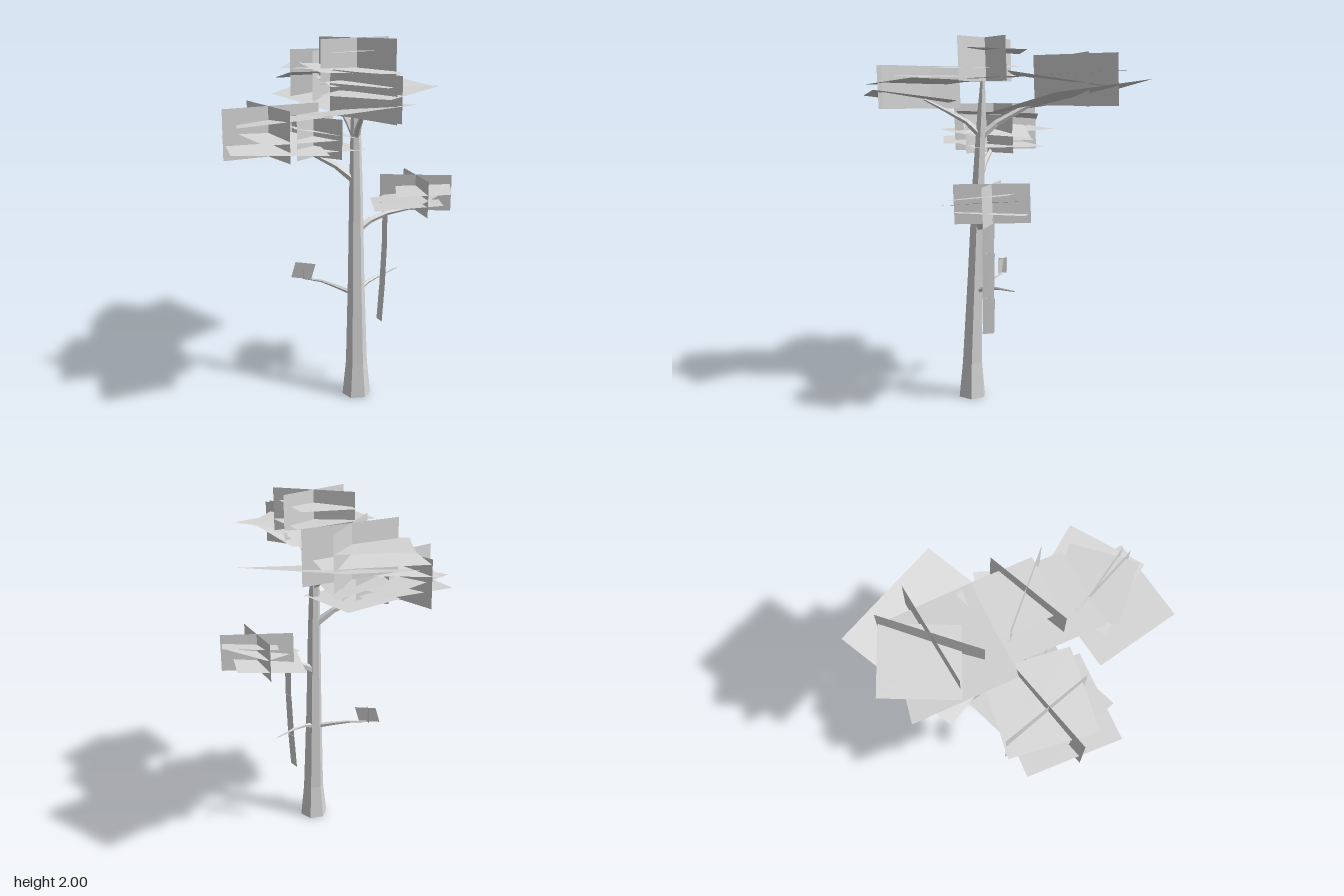
import * as THREE from 'three';

const bark = new THREE.MeshStandardMaterial({ color: 0xd6d6d6, side: THREE.DoubleSide });
bark.name = 'pale grey';

function meshFrom(name, positions) {
  const g = new THREE.BufferGeometry();
  g.setAttribute('position', new THREE.Float32BufferAttribute(positions, 3));
  g.computeVertexNormals(); // unshared corners keep every facet flat
  const m = new THREE.Mesh(g, bark);
  m.name = name;
  return m;
}

// Tapered limb through [x, y, z, radius] stations
function limb(name, stations, sides) {
  const pts = stations.map(s => new THREE.Vector3(s[0], s[1], s[2]));
  const last = pts.length - 1;
  const along = pts[last].clone().sub(pts[0]).normalize();
  const ref = Math.abs(along.x) > 0.6 ? new THREE.Vector3(0, 0, 1) : new THREE.Vector3(1, 0, 0);
  const rings = pts.map((p, i) => {
    const t = pts[Math.min(i + 1, last)].clone().sub(pts[Math.max(i - 1, 0)]).normalize();
    const u = ref.clone().addScaledVector(t, -ref.dot(t)).normalize();
    const w = t.clone().cross(u);
    return Array.from({ length: sides }, (_, k) => {
      const a = (k / sides) * Math.PI * 2;
      const r = stations[i][3];
      return p.clone().addScaledVector(u, r * Math.cos(a)).addScaledVector(w, r * Math.sin(a));
    });
  });
  const out = [];
  const tri = (...vs) => vs.forEach(v => out.push(v.x, v.y, v.z));
  for (let k = 0; k < sides; k++) {
    const n = (k + 1) % sides;
    for (let i = 0; i < last; i++) {
      tri(rings[i][k], rings[i][n], rings[i + 1][n]);
      tri(rings[i][k], rings[i + 1][n], rings[i + 1][k]);
    }
    tri(pts[0], rings[0][n], rings[0][k]);
    tri(pts[last], rings[last][k], rings[last][n]);
  }
  return meshFrom(name, out);
}

// Parallelogram leaf card from three consecutive corners, facing up
function card(name, p, q, r) {
  const s = p.map((v, i) => v + r[i] - q[i]);
  const a = new THREE.Vector3(...q).sub(new THREE.Vector3(...p));
  const b = new THREE.Vector3(...s).sub(new THREE.Vector3(...p));
  const up = a.cross(b).y >= 0;
  const c = up ? [p, q, r, p, r, s] : [p, r, q, p, s, r];
  return meshFrom(name, c.flat());
}

// Leaf cluster: upright cards [x1, z1, x2, z2] between two heights, leaning slightly, plus tilted flat cards
function cluster(name, y0, y1, upright, flat) {
  const g = new THREE.Group();
  g.name = name;
  for (const [x1, z1, x2, z2] of upright) {
    const lean = 0.008;
    g.add(card('uprightLeafCard', [x1, y0, z1], [x2, y0, z2], [x2, y1, z2 + lean]));
  }
  for (const f of flat) g.add(card('flatLeafCard', ...f));
  return g;
}

export function createModel() {
  const tree = new THREE.Group();
  tree.name = 'tree';

  // Trunk with flared foot
  tree.add(limb('trunk', [
    [0.088, 0, 0.167, 0.08], [0.088, 0.2, 0.165, 0.06], [0.086, 0.7, 0.147, 0.046],
    [0.085, 1.2, 0.128, 0.037], [0.084, 1.6, 0.108, 0.026], [0.088, 1.82, 0.1, 0.01],
  ], 6));

  // Branches
  const branches = {
    rightTwig: [[0.05, 0.605, 0.13, 0.014], [-0.02, 0.625, 0.09, 0.011], [-0.1, 0.645, 0.045, 0.008], [-0.2, 0.65, 0.005, 0.004]],
    leftTwig: [[0.1, 0.61, 0.13, 0.015], [0.16, 0.64, 0.08, 0.011], [0.25, 0.657, 0.01, 0.007], [0.36, 0.667, -0.08, 0.003]],
    leftBranch: [[0.1, 0.97, 0.125, 0.024], [0.17, 1.01, 0.1, 0.018], [0.27, 1.04, 0.07, 0.014], [0.45, 1.06, 0.03, 0.007]],
    rightBranch: [[0.07, 1.25, 0.12, 0.024], [-0.02, 1.32, 0.1, 0.018], [-0.14, 1.38, 0.07, 0.013], [-0.33, 1.45, 0.04, 0.006]],
    frontBranch: [[0.085, 1.48, 0.115, 0.022], [0.09, 1.55, 0.19, 0.016], [0.09, 1.61, 0.3, 0.012], [0.1, 1.67, 0.42, 0.006]],
    backBranch: [[0.085, 1.47, 0.11, 0.022], [0.06, 1.54, 0.03, 0.019], [0.02, 1.64, -0.15, 0.015], [0.02, 1.71, -0.36, 0.006]],
  };
  for (const [name, stations] of Object.entries(branches)) tree.add(limb(name, stations, 5));

  // Crown
  tree.add(cluster('topLeaves', 1.767, 2, [[-0.095, -0.05, 0.28, 0.215], [-0.115, 0.21, 0.284, -0.035]], [
    [[-0.205, 1.86, -0.06], [0.235, 1.84, -0.135], [0.305, 1.83, 0.34]],
    [[-0.09, 1.92, -0.095], [0.22, 1.93, -0.14], [0.26, 1.94, 0.17]],
    [[-0.12, 1.79, -0.04], [0.25, 1.8, -0.22], [0.3, 1.78, 0.16]],
  ]));
  tree.add(cluster('backLeaves', 1.635, 1.915, [[-0.12, -0.18, 0.195, -0.625], [-0.235, -0.33, 0.305, -0.465]], [
    [[-0.34, 1.655, -0.41], [0.185, 1.777, -0.8], [0.58, 1.705, -0.275]],
    [[0.235, 1.74, -0.57], [-0.31, 1.73, -0.585], [-0.255, 1.81, -0.05]],
    [[-0.175, 1.83, -0.71], [0.195, 1.82, -0.615], [0.08, 1.8, -0.235]],
  ]));
  tree.add(cluster('frontLeaves', 1.62, 1.85, [[-0.06, 0.235, 0.205, 0.65], [-0.07, 0.26, 0.235, 0.62]], [
    [[-0.25, 1.635, 0.37], [-0.115, 1.69, 0.795], [0.31, 1.72, 0.66]],
    [[-0.14, 1.81, 0.48], [0.155, 1.8, 0.69], [0.36, 1.785, 0.4]],
    [[0.46, 1.78, 0.435], [0.16, 1.75, 0.725], [-0.14, 1.74, 0.42]],
  ]));

  // Middle tier
  tree.add(cluster('rightLeaves', 1.37, 1.645, [[-0.625, 0.16, -0.1, -0.06], [-0.49, -0.19, -0.28, 0.285]], [
    [[-0.55, 1.545, -0.19], [-0.1, 1.59, -0.2], [-0.1, 1.605, 0.265]],
    [[-0.64, 1.46, -0.12], [-0.585, 1.44, 0.39], [-0.08, 1.42, 0.335]],
    [[-0.64, 1.52, -0.06], [-0.41, 1.49, 0.4], [0.02, 1.47, 0.17]],
  ]));
  tree.add(cluster('innerRightLeaves', 1.37, 1.585, [[-0.3, -0.035, 0, 0.2], [-0.24, 0.21, -0.02, -0.06]], [
    [[-0.28, 1.52, -0.12], [0.04, 1.46, -0.16], [0.07, 1.485, 0.2]],
    [[-0.2, 1.42, 0.27], [0.14, 1.41, 0.14], [0, 1.41, -0.24]],
  ]));
  tree.add(cluster('leftLeaves', 1.04, 1.245, [[0.24, -0.01, 0.63, 0.07], [0.405, -0.165, 0.465, 0.225]], [
    [[0.345, 1.19, -0.1], [0.64, 1.208, -0.045], [0.59, 1.175, 0.25]],
    [[0.21, 1.07, -0.17], [0.58, 1.1, -0.135], [0.55, 1.11, 0.23]],
    [[0.18, 1.11, 0.07], [0.42, 1.155, -0.15], [0.63, 1.17, 0.08]],
  ]));

  // Sprig on the low right twig
  const sprig = new THREE.Group();
  sprig.name = 'lowSprig';
  sprig.add(card('sprigCard', [-0.265, 0.65, -0.02], [-0.155, 0.65, 0.03], [-0.13, 0.74, 0.03]));
  sprig.add(card('sprigCard', [-0.2, 0.65, -0.02], [-0.2, 0.65, 0.03], [-0.2, 0.74, 0.03]));
  tree.add(sprig);

  // Hanging vine strip
  const vine = [[0.25, 1.04, 0.267], [0.249, 0.85, 0.267], [0.237, 0.6, 0.257], [0.223, 0.4, 0.243]];
  const strip = [];
  for (let i = 0; i < vine.length - 1; i++) {
    const [a, y0, b] = vine[i], [c, y1, d] = vine[i + 1];
    strip.push(a, y0, 0.03, c, y1, 0.035, d, y1, 0.097, a, y0, 0.03, d, y1, 0.097, b, y0, 0.094);
  }
  tree.add(meshFrom('hangingVine', strip));

  return tree;
}
